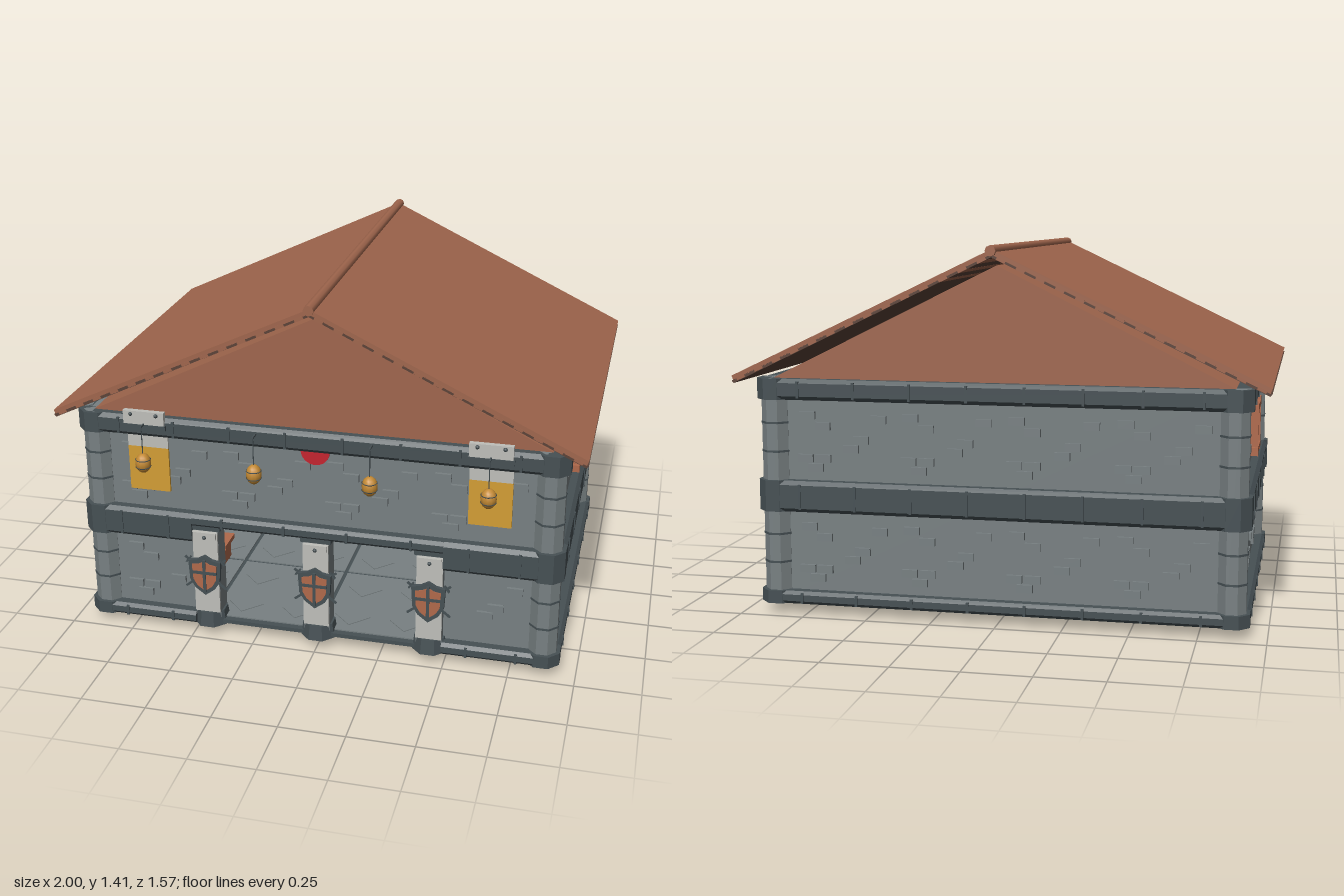
import * as THREE from 'three';
import { mergeGeometries } from 'three/addons/utils/BufferGeometryUtils.js';

const mat = (name, color, extra = {}) => Object.assign(new THREE.MeshStandardMaterial({ color, ...extra }), { name });

export function createModel() {
  const M = {
    stone: mat('stone', 0x788082), dark: mat('dark stone', 0x465054),
    roof: mat('roof', 0xa0664d), wood: mat('wood', 0xb0694b), darkWood: mat('dark wood', 0x5c4338),
    yellow: mat('yellow cloth', 0xd39d35), gold: mat('gold', 0xc48a34),
    red: mat('red', 0xc4242f), white: mat('pale cloth', 0xbfbfba),
  };
  const house = new THREE.Group();
  house.name = 'stoneHall';

  const add = (parent, name, geo, m, x = 0, y = 0, z = 0) => {
    const mesh = new THREE.Mesh(geo, m);
    mesh.name = name;
    mesh.position.set(x, y, z);
    parent.add(mesh);
    return mesh;
  };
  const box = (parent, name, m, w, h, d, x, y, z) => add(parent, name, new THREE.BoxGeometry(w, h, d), m, x, y, z);
  const group = (name, x = 0, y = 0, z = 0, parent = house) => {
    const g = new THREE.Group();
    g.name = name;
    g.position.set(x, y, z);
    parent.add(g);
    return g;
  };
  const poly = (pts) => new THREE.Shape(pts.map(([x, y]) => new THREE.Vector2(x, y)));
  const extrude = (shape, depth) => new THREE.ExtrudeGeometry(shape, { depth, bevelEnabled: false });

  // Chamfered moulding running along a wall's local x axis
  const band = (parent, x0, x1, y0, y1, z, out) => {
    const c = Math.min(0.015, (y1 - y0) / 4);
    const geo = extrude(poly([[z - 0.03, y0], [z + out - c, y0], [z + out, y0 + c], [z + out, y1 - c], [z + out - c, y1], [z - 0.03, y1]]), x1 - x0);
    geo.rotateY(-Math.PI / 2).translate(x1, 0, 0);
    add(parent, 'band', geo, M.dark);
    const n = Math.max(1, Math.round((x1 - x0) / 0.22));
    for (let i = 0; i < n; i++)
      box(parent, 'bandRib', M.dark, 0.01, (y1 - y0) * 0.8, 0.008, x0 + (i + 0.5) * (x1 - x0) / n, (y0 + y1) / 2, z + out);
  };

  // Clusters of raised bricks, repeated along a wall
  const cluster = [[-0.13, 0.34], [-0.07, 0.30], [-0.14, 0.175], [-0.07, 0.175], [-0.1, 0.14], [0.08, 0.25], [0.04, 0.215], [0.15, 0.33]];
  const bricks = (parent, half, z, skip) => {
    const list = [];
    const n = Math.round(half * 2 / 0.44);
    for (const base of [0, 0.43]) for (let i = 0; i < n; i++) for (const [bx, by] of cluster) {
      const x = -half + (i + 0.5) * 2 * half / n + bx, y = by + base;
      if (!skip(x, y)) list.push(new THREE.BoxGeometry(0.06, 0.03, 0.024).translate(x, y, z));
    }
    add(parent, 'raisedBricks', mergeGeometries(list), M.stone);
  };

  const wall = (name, angle, half, z, isFront, skip) => {
    const g = group(name);
    g.rotation.y = angle;
    if (isFront) {
      box(g, 'upperWall', M.stone, half * 2, 0.44, 0.05, 0, 0.69, z - 0.025);
      band(g, -0.49, 0.49, 0.47, 0.52, z, 0.045);
      for (const s of [-1, 1]) {
        box(g, 'lowerWall', M.stone, half - 0.49, 0.43, 0.05, s * (half + 0.49) / 2, 0.265, z - 0.025);
        const [a, b] = s < 0 ? [-half, -0.49] : [0.49, half];
        band(g, a, b, 0.04, 0.09, z, 0.045);
        band(g, a, b, 0.4, 0.52, z, 0.045);
      }
    } else {
      box(g, 'wallPanel', M.stone, half * 2, 0.87, 0.05, 0, 0.475, z - 0.025);
      band(g, -half, half, 0.04, 0.09, z, 0.045);
      band(g, -half, half, 0.4, 0.52, z, 0.045);
    }
    band(g, -half, half, 0.83, 0.91, z, 0.045);
    bricks(g, half - 0.06, z, skip);
    return g;
  };
  const nearWindow = (x, y) => Math.abs(x) < 0.14 && y > 0.52;
  wall('frontWall', 0, 0.87, 0.675, true, (x, y) => Math.abs(x) < 0.54 && y < 0.5);
  const back = wall('backWall', Math.PI, 0.87, 0.675, false, () => false);
  bricks(back, 0.8, 0.625, () => false);

  // Side walls with wooden lattice windows
  for (const s of [-1, 1]) {
    const g = wall('sideWall', s * Math.PI / 2, 0.655, 0.89, false, nearWindow);
    const w = group('window', 0, 0.68, 0.89, g);
    box(w, 'windowBack', M.darkWood, 0.16, 0.17, 0.012, 0, 0, 0);
    for (const x of [-0.085, 0.085]) box(w, 'windowPost', M.wood, 0.022, 0.22, 0.045, x, 0, 0.015);
    for (const y of [-0.085, 0.085]) box(w, 'windowRail', M.wood, 0.225, 0.022, 0.04, 0, y, 0.018);
    for (const y of [-0.045, 0, 0.045]) box(w, 'windowSlat', M.wood, 0.16, 0.03, 0.02, 0, y, 0.01);
    for (const x of [-0.045, 0.045]) box(w, 'windowBar', M.wood, 0.016, 0.16, 0.03, x, 0, 0.015);
  }

  // Octagonal corner posts with thick collars
  const octagon = (apothem, h, top = apothem) => {
    const k = Math.cos(Math.PI / 8);
    return new THREE.CylinderGeometry(top / k, apothem / k, h, 8).rotateY(Math.PI / 8).toNonIndexed();
  };
  const flat = (geo) => { geo.computeVertexNormals(); return geo; };
  for (const sx of [-1, 1]) for (const sz of [-1, 1]) {
    const g = group('cornerPost', sx * 0.87, 0, sz * 0.655);
    add(g, 'post', flat(octagon(0.052, 0.87)), M.stone, 0, 0.475, 0);
    for (const [y, h] of [[0.065, 0.05], [0.46, 0.12], [0.87, 0.08]]) add(g, 'collar', flat(octagon(0.066, h)), M.dark, 0, y, 0);
    for (const y of [0.2, 0.31, 0.63, 0.74]) add(g, 'joint', flat(octagon(0.054, 0.008)), M.dark, 0, y, 0);
  }

  // Tiled floor with diamond studs on both faces
  box(house, 'floorSlab', M.dark, 1.78, 0.016, 1.4, 0, 0.056, 0);
  for (let i = 0; i < 4; i++) for (let j = 0; j < 3; j++) {
    const g = group('floorTile', -0.66 + i * 0.44, 0.056, -0.455 + j * 0.455);
    box(g, 'tile', M.stone, 0.425, 0.026, 0.44, 0, 0, 0);
    for (const x of [-0.11, 0.11]) for (const z of [-0.11, 0.11])
      box(g, 'diamond', M.stone, 0.1, 0.032, 0.1, x, 0, z).rotation.y = Math.PI / 4;
  }

  // Entrance pillars carrying hanging cloths and shields
  const shieldPts = (k) => [[0, 0.085], [0.03, 0.068], [0.065, 0.062], [0.06, -0.02], [0.04, -0.055], [0, -0.085], [-0.04, -0.055], [-0.06, -0.02], [-0.065, 0.062], [-0.03, 0.068]].map(([x, y]) => [x * k, y * k]);
  for (const x of [-0.44, 0, 0.44]) {
    const g = group('pillar', x, 0, 0.665);
    box(g, 'shaft', M.stone, 0.1, 0.42, 0.075, 0, 0.26, 0);
    add(g, 'base', flat(octagon(0.066, 0.06, 0.058)), M.dark, 0, 0.07, 0);
    box(g, 'capital', M.dark, 0.12, 0.04, 0.09, 0, 0.475, 0);
    box(g, 'cloth', M.white, 0.1, 0.35, 0.009, 0, 0.275, 0.043);
    box(g, 'clothTop', M.white, 0.09, 0.03, 0.02, 0, 0.435, 0.045);
    add(g, 'peg', new THREE.SphereGeometry(0.008, 8, 6), M.dark, 0, 0.43, 0.056);
    const s = group('shield', 0, 0.27, 0.052, g);
    for (const a of [-1, 1]) {
      box(s, 'sword', M.dark, 0.008, 0.21, 0.006, 0, 0.005, 0).rotation.z = a * 0.9;
      box(s, 'swordGuard', M.dark, 0.03, 0.007, 0.01, a * 0.068, 0.058, 0).rotation.z = -a * 0.9;
    }
    add(s, 'shieldRim', extrude(poly(shieldPts(1)), 0.016), M.dark);
    add(s, 'shieldFace', extrude(poly(shieldPts(0.76)), 0.006), M.wood, 0, 0, 0.014);
    box(s, 'shieldCrossV', M.dark, 0.012, 0.14, 0.008, 0, 0, 0.019);
    box(s, 'shieldCrossH', M.dark, 0.1, 0.012, 0.008, 0, 0.015, 0.019);
  }

  // Upper front: banners, half disc and hanging lanterns
  for (const s of [-1, 1]) {
    const b = group('banner', s * 0.655, 0, 0);
    box(b, 'bannerLower', M.yellow, 0.16, 0.18, 0.009, 0, 0.69, 0.693);
    box(b, 'bannerUpper', M.white, 0.16, 0.09, 0.009, 0, 0.825, 0.693);
    box(b, 'bannerTop', M.white, 0.16, 0.055, 0.02, 0, 0.91, 0.72);
    box(b, 'bannerClamp', M.dark, 0.17, 0.02, 0.02, 0, 0.875, 0.722);
    for (const x of [-0.05, 0.05]) add(b, 'rivet', new THREE.SphereGeometry(0.008, 8, 6), M.dark, x, 0.925, 0.73);
    for (const x of [0.22, 0.655]) {
      const l = group('lantern', s * x, 0.74, 0.755);
      add(l, 'lanternBody', new THREE.SphereGeometry(0.03, 12, 8).scale(1, 1.3, 1), M.gold);
      for (const y of [-0.015, 0.015]) add(l, 'lanternHoop', new THREE.TorusGeometry(0.028, 0.002, 4, 12).rotateX(Math.PI / 2), M.dark, 0, y, 0);
      add(l, 'cord', new THREE.CylinderGeometry(0.002, 0.002, 0.12, 6), M.dark, 0, 0.09, 0);
      box(l, 'hook', M.dark, 0.006, 0.006, 0.07, 0, 0.147, -0.03);
    }
  }
  add(house, 'redHalfDisc', new THREE.CylinderGeometry(0.055, 0.055, 0.009, 24, 1, false, Math.PI * 1.5, Math.PI).rotateX(Math.PI / 2), M.red, 0, 0.83, 0.693);

  // Interior: round crest on the back wall, low stage with red cover and railing
  add(house, 'crestRing', new THREE.TorusGeometry(0.16, 0.018, 6, 32), M.dark, 0, 0.345, -0.6);
  add(house, 'crestFace', new THREE.CylinderGeometry(0.145, 0.145, 0.009, 32).rotateX(Math.PI / 2), M.red, 0, 0.345, -0.602);
  for (const s of [-1, 1]) box(house, 'crestBar', M.dark, 0.012, 0.27, 0.02, s * 0.06, 0.345, -0.598).rotation.z = s * 0.35;
  const stage = group('stage', 0, 0, -0.36);
  box(stage, 'stageTop', M.dark, 0.74, 0.02, 0.2, 0, 0.18, 0);
  box(stage, 'stageCover', M.red, 0.74, 0.018, 0.21, 0, 0.2, 0);
  for (const x of [-0.34, 0.34]) box(stage, 'stageLeg', M.dark, 0.025, 0.11, 0.16, x, 0.12, 0);
  for (const x of [-0.31, -0.21, 0.21, 0.31]) box(stage, 'railPost', M.dark, 0.006, 0.13, 0.006, x, 0.27, 0.09);
  box(stage, 'railBar', M.dark, 0.64, 0.006, 0.006, 0, 0.333, 0.09);

  // Wooden tables inside, benches and hatches showing below the floor
  for (const s of [-1, 1]) {
    const t = group('table', s * 0.6, 0, 0.25);
    box(t, 'tableTop', M.wood, 0.2, 0.02, 0.12, 0, 0.16, 0);
    for (const x of [-0.075, 0.075]) box(t, 'tableLeg', M.wood, 0.02, 0.09, 0.1, x, 0.11, 0);
    const b = group('bench', s * 0.77, 0, -0.09);
    box(b, 'benchSeat', M.wood, 0.05, 0.012, 0.21, 0, 0.034, 0);
    for (const z of [-0.075, 0.075]) box(b, 'benchLeg', M.wood, 0.025, 0.03, 0.02, -s * 0.01, 0.015, z);
    const h = group('hatch', s * 0.69, 0.042, -0.51);
    box(h, 'hatchPanel', M.darkWood, 0.13, 0.008, 0.13, 0, 0, 0);
    for (const z of [-0.05, 0, 0.05]) box(h, 'hatchPlank', M.wood, 0.13, 0.006, 0.012, 0, -0.003, z);
  }

  // Attic block with gable ends, kept clear of the roof
  add(house, 'atticGables', extrude(poly([[-0.87, 0.91], [0.87, 0.91], [0, 1.34]]), 1.36), M.roof, 0, 0, -0.68);

  // Two roof slabs, dark lining with battens, and the ridge pole
  for (const s of [-1, 1]) {
    const slab = (top, bottom) => {
      const pts = [[0, 1.4 - top], [s, 0.925 - top], [s * 0.993, 0.925 - bottom], [0, 1.4 - bottom]];
      return extrude(poly(s > 0 ? pts.reverse() : pts), 1.53);
    };
    add(house, 'roofSlab', slab(0, 0.018), M.roof, 0, 0, -0.77);
    add(house, 'roofLining', slab(0.018, 0.028), M.darkWood, 0, 0, -0.77);
    for (let i = 0; i < 14; i++) {
      const t = (i + 0.5) / 14;
      box(house, 'roofBatten', M.roof, 0.035, 0.012, 1.532, s * t, 1.378 - 0.475 * t, -0.005).rotation.z = -s * 0.443;
    }
  }
  add(house, 'ridgePole', new THREE.CylinderGeometry(0.02, 0.02, 1.55, 8).rotateX(Math.PI / 2), M.roof, 0, 1.395, -0.01);

  return house;
}
